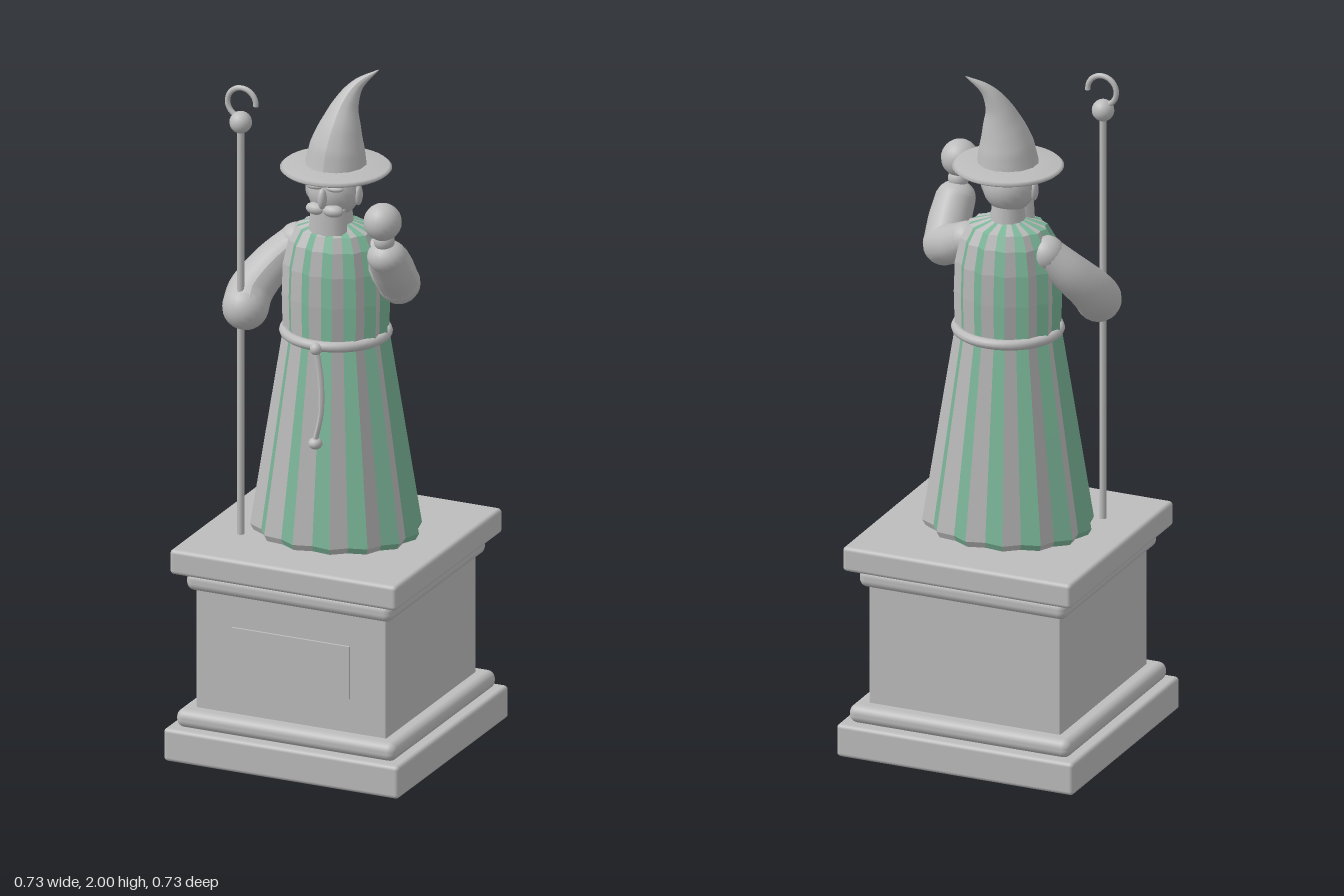
import * as THREE from 'three';
import { RoundedBoxGeometry } from 'three/addons/geometries/RoundedBoxGeometry.js';

const stone = new THREE.MeshStandardMaterial({ color: 0xbcbcbc });
stone.name = 'stone';
const green = new THREE.MeshStandardMaterial({ color: 0x7ab497, side: THREE.DoubleSide });
green.name = 'stripeGreen';
const pale = stone.clone();
pale.name = 'stripeStone';
pale.side = THREE.DoubleSide;

const V = (p) => new THREE.Vector3(...p);

function add(group, name, geometry, pos = [0, 0, 0], scale = [1, 1, 1], material = stone) {
  const mesh = new THREE.Mesh(geometry, material);
  mesh.name = name;
  mesh.position.set(...pos);
  mesh.scale.set(...scale);
  group.add(mesh);
  return mesh;
}

const ball = (r, w = 20, h = 14) => new THREE.SphereGeometry(r, w, h);

// Tube whose radius changes along its path; stops are [x, y, z, radius]
function taperedTube(stops, segments, sides) {
  const curve = new THREE.CatmullRomCurve3(stops.map((s) => V(s.slice(0, 3))));
  const geo = new THREE.TubeGeometry(curve, segments, 1, sides, false);
  const pos = geo.attributes.position;
  const lengths = curve.getLengths(40 * (stops.length - 1));
  const total = lengths[lengths.length - 1];
  const us = stops.map((s, i) => lengths[i * 40] / total);
  const v = new THREE.Vector3();
  for (let i = 0; i <= segments; i++) {
    const u = i / segments;
    let k = 0;
    while (k < us.length - 2 && u > us[k + 1]) k++;
    const r = THREE.MathUtils.lerp(stops[k][3], stops[k + 1][3], (u - us[k]) / (us[k + 1] - us[k]));
    const centre = curve.getPointAt(u);
    for (let j = 0; j <= sides; j++) {
      const n = i * (sides + 1) + j;
      v.fromBufferAttribute(pos, n).sub(centre).multiplyScalar(r).add(centre);
      pos.setXYZ(n, v.x, v.y, v.z);
    }
  }
  geo.computeVertexNormals();
  return geo;
}

// Every second pleat face of the robe, following a height/radius profile
function pleats(parity) {
  const profile = [[0.632, 0.24], [0.65, 0.25], [0.95, 0.201], [1.23, 0.155], [1.34, 0.158],
    [1.43, 0.155], [1.5, 0.139], [1.54, 0.115], [1.56, 0.05]];
  const count = 28;
  const start = THREE.MathUtils.degToRad(8);
  const out = [];
  const corner = (row, k) => {
    const [y, radius] = profile[row];
    const r = radius * (k % 2 ? 0.925 : 1);
    const a = start + (k / count) * Math.PI * 2;
    return [Math.sin(a) * r, y, -Math.cos(a) * r * 0.86];
  };
  for (let k = parity; k < count; k += 2) {
    for (let row = 0; row < profile.length - 1; row++) {
      const a = corner(row, k), b = corner(row, k + 1);
      const c = corner(row + 1, k + 1), d = corner(row + 1, k);
      out.push(...a, ...d, ...c, ...a, ...c, ...b);
    }
  }
  const geo = new THREE.BufferGeometry();
  geo.setAttribute('position', new THREE.Float32BufferAttribute(out, 3));
  geo.computeVertexNormals();
  return geo;
}

function makePedestal() {
  const g = new THREE.Group();
  g.name = 'pedestal';
  // name, half width, bottom, top, edge radius
  const layers = [
    ['footSlab', 0.365, 0, 0.098, 0.012],
    ['lowerMoulding', 0.341, 0.096, 0.15, 0.024],
    ['block', 0.295, 0.145, 0.51, 0.005],
    ['upperMoulding', 0.32, 0.503, 0.56, 0.024],
    ['topSlab', 0.352, 0.558, 0.632, 0.012],
  ];
  for (const [name, w, y0, y1, r] of layers) {
    add(g, name, new RoundedBoxGeometry(2 * w, y1 - y0, 2 * w, 4, r), [0, (y0 + y1) / 2, 0]);
  }
  add(g, 'frontPanel', new THREE.BoxGeometry(0.365, 0.158, 0.009), [0, 0.33, 0.298]);
  return g;
}

function makeRobe() {
  const g = new THREE.Group();
  g.name = 'robe';
  add(g, 'greenPleats', pleats(0), undefined, undefined, green);
  add(g, 'palePleats', pleats(1), undefined, undefined, pale);
  const belt = add(g, 'belt', new THREE.TorusGeometry(0.146, 0.015, 10, 40), [0, 1.23, 0], [1, 0.97, 1]);
  belt.rotation.x = Math.PI / 2;
  // Hanging cord with a bead
  add(g, 'cord', taperedTube([[0.01, 1.225, 0.152, 0.009], [0.03, 1.13, 0.163, 0.009],
    [0.035, 1.04, 0.174, 0.008], [0.02, 0.96, 0.18, 0.008]], 20, 8));
  add(g, 'cordKnot', ball(0.018), [0.01, 1.225, 0.152]);
  add(g, 'cordBead', ball(0.02), [0.02, 0.952, 0.178], [1, 0.85, 1]);
  return g;
}

function makeHead() {
  const g = new THREE.Group();
  g.name = 'head';
  add(g, 'neck', new THREE.CylinderGeometry(0.042, 0.055, 0.12, 16), [0, 1.57, 0]);
  add(g, 'skull', ball(0.077), [0, 1.657, 0.01], [1, 1.02, 1]);
  add(g, 'nose', ball(0.016), [0, 1.652, 0.09], [0.8, 1.9, 1]);
  for (const s of [-1, 1]) {
    add(g, 'ear', ball(0.018), [s * 0.076, 1.65, 0.012], [0.6, 1.7, 0.9]);
    add(g, 'eyebrow', ball(0.02), [s * 0.03, 1.683, 0.075], [1.4, 0.5, 0.8]);
    add(g, 'moustache', ball(0.026), [s * 0.026, 1.615, 0.075], [1.2, 0.7, 0.8]);
  }
  // Beard widens slightly towards its blunt end
  add(g, 'beard', new THREE.CylinderGeometry(0.054, 0.06, 0.095, 12), [0, 1.568, 0.052], [1, 1, 0.65]);
  return g;
}

function makeHat() {
  const g = new THREE.Group();
  g.name = 'hat';
  const rim = [[0, 1.708], [0.15, 1.711], [0.158, 1.718], [0.15, 1.725], [0.08, 1.732], [0, 1.732]];
  add(g, 'brim', new THREE.LatheGeometry(rim.map(([x, y]) => new THREE.Vector2(x, y)), 40));
  add(g, 'bentCone', taperedTube([[0, 1.722, 0, 0.089], [0.003, 1.78, -0.003, 0.079],
    [0.01, 1.84, -0.011, 0.06], [0.02, 1.9, -0.025, 0.037], [0.045, 1.955, -0.046, 0.018],
    [0.097, 1.999, -0.076, 0.001]], 28, 14));
  return g;
}

function makeStaff() {
  const g = new THREE.Group();
  g.name = 'staff';
  const x = -0.225, z = 0.15;
  add(g, 'pole', new THREE.CylinderGeometry(0.01, 0.01, 1.23, 12), [x, 1.245, z]);
  add(g, 'poleBall', ball(0.032), [x, 1.867, z]);
  const hook = add(g, 'hook', new THREE.TorusGeometry(0.044, 0.008, 8, 28, 4.6), [x + 0.003, 1.926, z]);
  hook.rotation.z = -0.1;
  return g;
}

function makeArms() {
  const g = new THREE.Group();
  g.name = 'arms';
  // Arm lowered to hold the staff
  add(g, 'staffShoulder', ball(0.052), [-0.125, 1.475, -0.01]);
  add(g, 'staffSleeve', taperedTube([[-0.125, 1.475, -0.01, 0.05], [-0.185, 1.41, 0.025, 0.058],
    [-0.225, 1.34, 0.085, 0.065], [-0.222, 1.305, 0.125, 0.066]], 20, 16));
  add(g, 'staffCuff', ball(0.066), [-0.222, 1.305, 0.125]);
  add(g, 'staffHand', ball(0.036), [-0.225, 1.31, 0.152]);
  // Arm bent upward, carrying the orb
  add(g, 'orbShoulder', ball(0.052), [0.125, 1.475, -0.005]);
  add(g, 'orbUpperSleeve', taperedTube([[0.125, 1.475, -0.005, 0.052], [0.175, 1.445, 0.02, 0.057],
    [0.22, 1.425, 0.05, 0.06]], 12, 16));
  add(g, 'orbElbow', ball(0.061), [0.22, 1.424, 0.052]);
  add(g, 'orbForearm', taperedTube([[0.22, 1.424, 0.052, 0.06], [0.225, 1.48, 0.1, 0.061],
    [0.225, 1.535, 0.142, 0.057]], 12, 16));
  add(g, 'orbCuff', ball(0.057), [0.225, 1.532, 0.14], [1, 0.85, 1]);
  add(g, 'orbHand', ball(0.03), [0.223, 1.585, 0.155]);
  add(g, 'orb', ball(0.054), [0.222, 1.644, 0.163]);
  return g;
}

export function createModel() {
  const model = new THREE.Group();
  model.name = 'robedStatue';
  model.add(makePedestal(), makeRobe(), makeHead(), makeHat(), makeStaff(), makeArms());
  return model;
}
